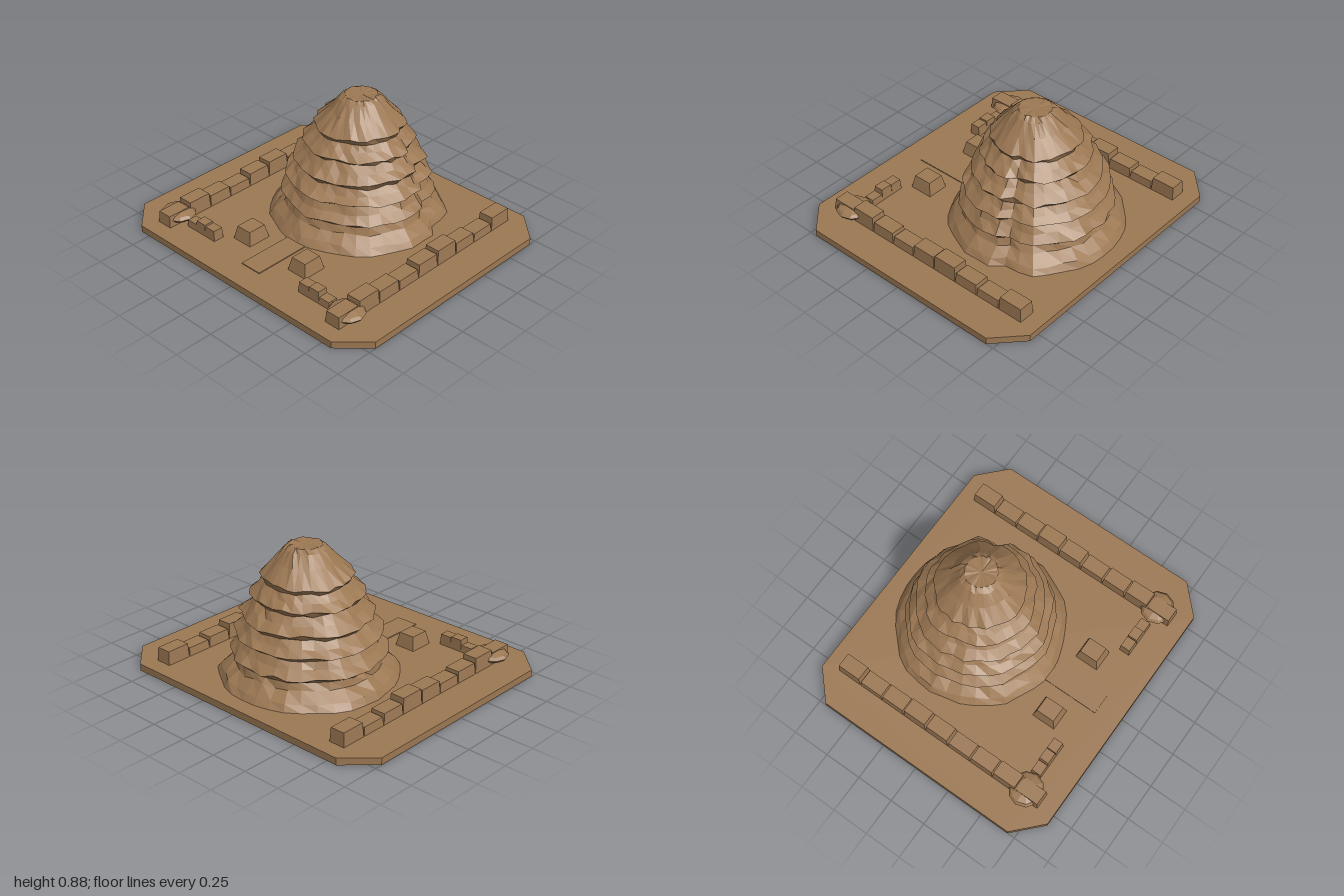
import * as THREE from 'three';

export function createModel() {
  const model = new THREE.Group();
  const clay = new THREE.MeshStandardMaterial({ color: 0x9c7853, flatShading: true });
  clay.name = 'brown clay';

  const add = (name, geometry, x = 0, y = 0, z = 0) => {
    const mesh = new THREE.Mesh(geometry, clay);
    mesh.name = name;
    mesh.position.set(x, y, z);
    model.add(mesh);
    return mesh;
  };

  // Seeded random for the eroded rock
  let seed = 7;
  const random = () => {
    seed = (seed * 16807) % 2147483647;
    return seed / 2147483647;
  };
  const jitter = (amount) => (random() - 0.5) * 2 * amount;

  const GROUND = 0.045;

  // Block with its top drawn in by a small inset
  const block = (name, w, h, d, inset, x, z) => {
    const geometry = new THREE.BoxGeometry(w, h, d);
    const p = geometry.attributes.position;
    for (let i = 0; i < p.count; i++) {
      if (p.getY(i) > 0) {
        p.setX(i, p.getX(i) - Math.sign(p.getX(i)) * inset);
        p.setZ(i, p.getZ(i) - Math.sign(p.getZ(i)) * inset);
      }
    }
    add(name, geometry, x, GROUND + h / 2, z);
  };

  // Base slab with cut corners
  const outline = [[1, 0.7], [0.82, 0.87], [-0.82, 0.87], [-1, 0.7],
    [-1, -0.7], [-0.82, -0.87], [0.82, -0.87], [1, -0.7]];
  const slab = new THREE.ExtrudeGeometry(
    new THREE.Shape(outline.map(([x, z]) => new THREE.Vector2(x, z))),
    { depth: GROUND, bevelEnabled: false });
  slab.rotateX(-Math.PI / 2);
  add('base', slab);

  // Mountain: stepped profile [radius, height, wobble], swept round an uneven outline
  const profile = [[0.55, 0.045, 0], [0.52, 0.085, 0.008], [0.455, 0.14, 0.008], [0.435, 0.185, 0.008],
    [0.475, 0.215, 0.01], [0.425, 0.26, 0.006], [0.4, 0.305, 0.008],
    [0.448, 0.338, 0.01], [0.4, 0.375, 0.006], [0.365, 0.415, 0.008],
    [0.405, 0.455, 0.01], [0.345, 0.5, 0.006], [0.305, 0.545, 0.008],
    [0.343, 0.577, 0.01], [0.29, 0.62, 0.006], [0.255, 0.657, 0.006],
    [0.278, 0.69, 0.01], [0.19, 0.78, 0.005], [0.13, 0.85, 0.004], [0.1, 0.873, 0.004]];
  // Outline radius by angle in degrees, from +x round to +z
  const radii = [[0, 0.53], [22, 0.523], [48, 0.53], [75, 0.52], [93, 0.56], [120, 0.55], [126, 0.582],
    [148, 0.568], [177, 0.582], [202, 0.588], [232, 0.565], [257, 0.555], [278, 0.545],
    [300, 0.535], [325, 0.545], [338, 0.48], [348, 0.535], [360, 0.53]];
  const outlineScale = (angle) => {
    const k = Math.max(1, radii.findIndex(([a]) => a >= angle));
    const [a0, r0] = radii[k - 1];
    const [a1, r1] = radii[k];
    return (r0 + (r1 - r0) * (angle - a0) / (a1 - a0)) / 0.55;
  };
  const SEGMENTS = 36;
  const columns = Array.from({ length: SEGMENTS }, (_, i) => {
    const angle = (i * 360) / SEGMENTS;
    return { a: THREE.MathUtils.degToRad(angle), s: outlineScale(angle) + jitter(0.015) };
  });
  const points = [];
  profile.forEach(([r, y, wobble], row) => {
    for (const { a, s } of columns) {
      const scale = row > 16 ? 1 + (s - 1) * 0.5 : s;
      const radius = r * scale + jitter(wobble);
      points.push(0.025 + radius * Math.cos(a), y + jitter(wobble), -0.215 + radius * Math.sin(a));
    }
  });
  const faces = [];
  for (let row = 0; row < profile.length - 1; row++) {
    for (let i = 0; i < SEGMENTS; i++) {
      const a = row * SEGMENTS + i;
      const b = row * SEGMENTS + (i + 1) % SEGMENTS;
      const c = a + SEGMENTS;
      const d = b + SEGMENTS;
      faces.push(a, c, d, a, d, b);
    }
  }
  // Summit cap
  const summit = points.length / 3;
  const lastRing = summit - SEGMENTS;
  points.push(0.025, 0.87, -0.215);
  for (let i = 0; i < SEGMENTS; i++) {
    faces.push(lastRing + i, summit, lastRing + (i + 1) % SEGMENTS);
  }
  const rock = new THREE.BufferGeometry();
  rock.setAttribute('position', new THREE.Float32BufferAttribute(points, 3));
  rock.setIndex(faces);
  rock.computeVertexNormals();
  add('mountain', rock);

  // Walls, corner boulders and gate blocks on both sides
  const sideTops = [0.135, 0.1, 0.115, 0.145, 0.13, 0.105, 0.12, 0.145, 0.122];
  const frontTops = [0.09, 0.122, 0.115];
  for (const side of [-1, 1]) {
    sideTops.forEach((top, i) =>
      block('sideWallBlock', 0.107, top - GROUND, 0.166, 0.005, side * 0.725, -0.68 + i * 0.17));
    frontTops.forEach((top, i) =>
      block('frontWallBlock', 0.084, top - GROUND, 0.073, 0.004, side * (0.57 - i * 0.082), 0.635));
    block('gateBlock', 0.144, 0.088, 0.16, 0.018, side * 0.237, 0.48);

    const boulder = new THREE.SphereGeometry(0.115, 10, 6);
    boulder.scale(1, 0.32, 0.95);
    add('cornerBoulder', boulder, side * 0.727, 0.084, 0.645);
  }

  // Entrance path
  add('path', new THREE.BoxGeometry(0.15, 0.006, 0.38), 0, GROUND + 0.003, 0.52);

  return model;
}
